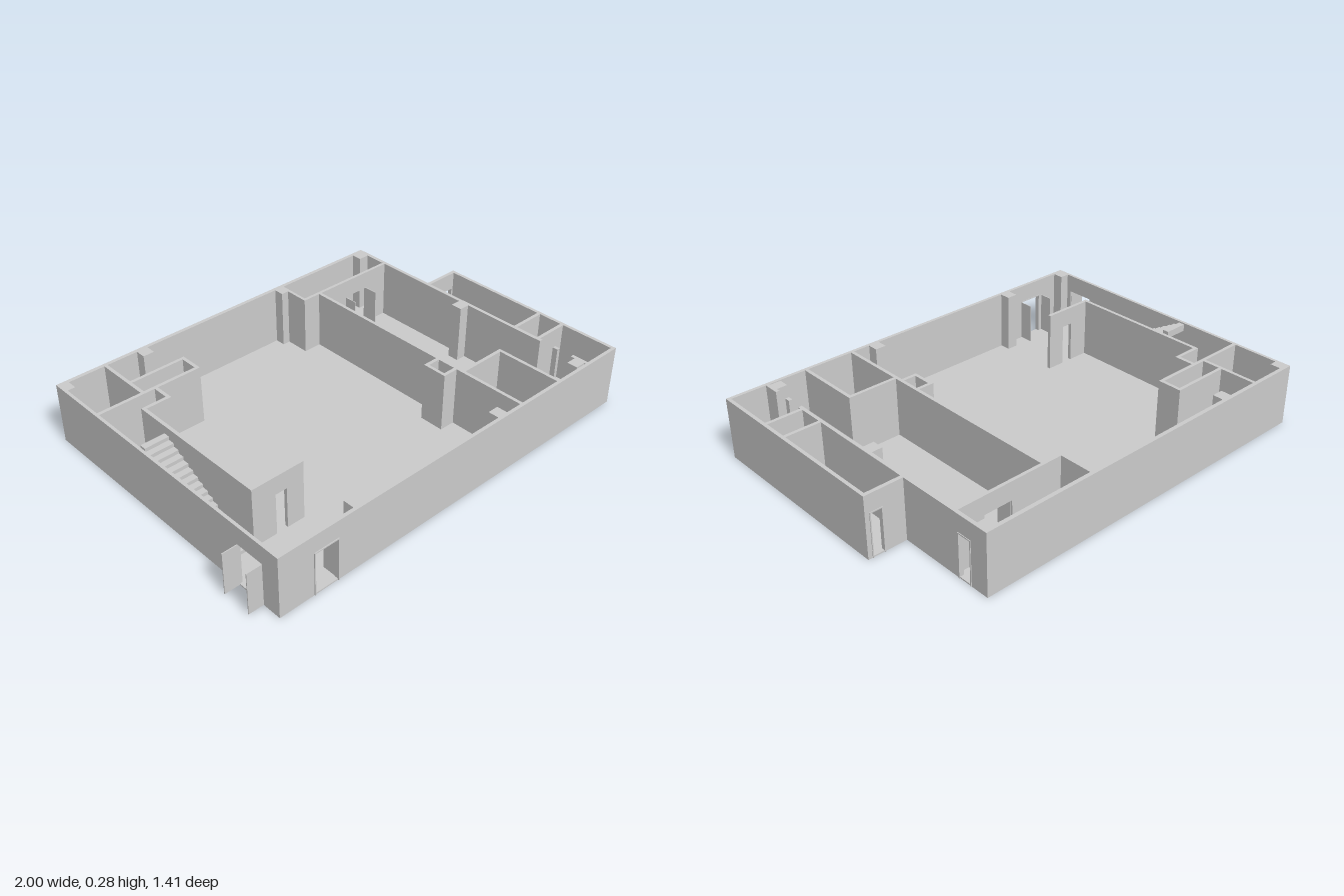
import * as THREE from 'three';

const H = 0.285, DOOR = 0.2, FLOOR = 0.006;

export function createModel() {
  const model = new THREE.Group();
  const mat = new THREE.MeshStandardMaterial({ color: 0xcccccc, flatShading: true });

  const add = (name, geometry, parent = model) => {
    const mesh = new THREE.Mesh(geometry, mat);
    mesh.name = name;
    parent.add(mesh);
    return mesh;
  };
  const shapeOf = pts => new THREE.Shape(pts.map(p => new THREE.Vector2(...p)));
  const extrude = (pts, depth) =>
    new THREE.ExtrudeGeometry(shapeOf(pts), { depth, bevelEnabled: false });

  // Box given by its plan limits and its height range
  const block = (name, x0, x1, z0, z1, y0 = 0, y1 = H) => {
    const m = add(name, new THREE.BoxGeometry(x1 - x0, y1 - y0, z1 - z0));
    m.position.set((x0 + x1) / 2, (y0 + y1) / 2, (z0 + z1) / 2);
    return m;
  };

  // Wall outline with doorways cut up from the floor: doors = [[start, end], ...]
  const wallOutline = (a, b, doors) => [
    [a, 0],
    ...doors.flatMap(([s, e]) => [[s, 0], [s, DOOR], [e, DOOR], [e, 0]]),
    [b, 0], [b, H], [a, H],
  ];
  const wallX = (name, x0, x1, z0, z1, ...doors) => {
    add(name, extrude(wallOutline(x0, x1, doors), z1 - z0)).position.z = z0;
  };
  const wallZ = (name, x0, x1, z0, z1, ...doors) => {
    const m = add(name, extrude(wallOutline(z0, z1, doors), x1 - x0));
    m.rotation.y = -Math.PI / 2;
    m.position.x = x1;
  };

  // L-shaped floor slab
  const floor = add('floor', extrude(
    [[-0.93, -0.7], [1, -0.7], [1, 0.25], [0.82, 0.25], [0.82, 0.71], [-0.93, 0.71]], FLOOR));
  floor.rotation.x = -Math.PI / 2;

  // Outer walls
  wallX('frontWall', -0.93, 1, 0.684, 0.7, [-0.76, -0.65]);
  wallX('backWall', -0.93, 0.82, -0.71, -0.692);
  wallZ('rightOuterWall', -0.93, -0.916, -0.71, 0.7, [0.475, 0.61]);
  wallZ('leftOuterWall', 0.803, 0.82, -0.71, 0.44, [-0.62, -0.56]);
  wallZ('leftOuterWallEnd', 0.803, 0.82, 0.607, 0.7);
  wallZ('annexSideWall', 0.984, 1, -0.25, 0.7);
  wallX('annexBackWall', 0.803, 1, -0.25, -0.233, [0.925, 0.98]);

  // Annex dividers and post
  wallX('annexDivider', 0.81, 0.99, 0.28, 0.296);
  wallX('annexDivider', 0.81, 0.99, 0.41, 0.426);
  block('annexPost', 0.803, 0.82, 0.51, 0.535);

  // Back room on the left and the long partition
  wallZ('backRoomSideWall', 0.28, 0.294, -0.7, -0.525);
  wallX('backRoomFrontWall', 0.28, 0.81, -0.54, -0.525, [0.545, 0.68]);
  wallZ('longPartition', 0.37, 0.386, -0.53, 0.69);

  // Front room beside the partition
  wallX('frontRoomBackWall', 0.37, 0.626, 0.36, 0.376);
  wallZ('frontRoomSideWall', 0.61, 0.626, 0.36, 0.69);

  // Hollow shaft on the partition
  wallX('shaftWall', 0.295, 0.375, 0.222, 0.238);
  wallX('shaftWall', 0.295, 0.375, 0.324, 0.34);
  wallZ('shaftWall', 0.295, 0.31, 0.222, 0.34);

  // Small rooms in the right rear corner
  wallZ('cornerRoomSideWall', -0.706, -0.69, -0.7, -0.41);
  wallX('cornerRoomFrontWall', -0.92, -0.415, -0.426, -0.41);
  wallX('closetBackWall', -0.7, -0.415, -0.525, -0.51);
  wallZ('closetSideWall', -0.431, -0.415, -0.525, -0.41);

  // Walls enclosing the stairs
  wallZ('stairLobbyWall', -0.647, -0.631, -0.42, -0.317, [-0.4, -0.345]);
  wallX('stairLobbyReturn', -0.768, -0.631, -0.333, -0.317);
  wallZ('stairSideWall', -0.768, -0.752, -0.333, 0.363);
  wallX('stairFrontWall', -0.768, -0.515, 0.347, 0.363, [-0.655, -0.6]);

  // Columns against the walls
  [
    [-0.92, -0.88, -0.7, -0.643], [-0.54, -0.486, -0.7, -0.643],
    [0.243, 0.285, -0.7, -0.643], [0.75, 0.81, -0.7, -0.643],
    [-0.92, -0.87, 0.633, 0.69], [-0.56, -0.507, 0.633, 0.69],
    [0.235, 0.288, 0.633, 0.69], [0.753, 0.81, 0.627, 0.677],
    [0.753, 0.81, -0.035, 0.02],
  ].forEach(c => block('column', ...c));

  // Staircase: stepped top, sloping underside, rising toward the back
  const steps = 17, run = 0.496 / steps, rise = 0.278 / steps;
  const profile = [];
  for (let i = 0; i < steps; i++) {
    const z = 0.36 - i * run;
    profile.push([z, i * rise], [z, (i + 1) * rise]);
  }
  profile.push([-0.136, steps * rise], [-0.136, (steps - 2) * rise], [0.36 - 2 * run, 0]);
  const stairs = add('stairs', extrude(profile, 0.113));
  stairs.rotation.y = -Math.PI / 2;
  stairs.position.set(-0.795, FLOOR, 0);

  // Open door leaves
  const leaf = (x0, x1, z0, z1) => block('doorLeaf', x0, x1, z0, z1, 0.002, DOOR - 0.002);
  for (const z of [0.473, 0.609]) leaf(-1, -0.925, z, z + 0.004);
  for (const x of [-0.784, -0.648]) leaf(x, x + 0.004, 0.62, 0.69);
  for (const x of [0.543, 0.679]) leaf(x, x + 0.004, -0.53, -0.46);

  // Thin frames around the outer doorways, standing just proud of the wall
  const frame = (a, b, depth) => {
    const t = 0.005;
    return add('doorFrame', extrude([
      [a - t, 0], [a, 0], [a, DOOR], [b, DOOR], [b, 0],
      [b + t, 0], [b + t, DOOR + t], [a - t, DOOR + t],
    ], depth));
  };
  frame(-0.76, -0.65, 0.022).position.z = 0.682;
  frame(0.925, 0.975, 0.02).position.z = -0.253;
  const sideFrame = frame(-0.62, -0.56, 0.022);
  sideFrame.rotation.y = -Math.PI / 2;
  sideFrame.position.x = 0.823;

  return model;
}
